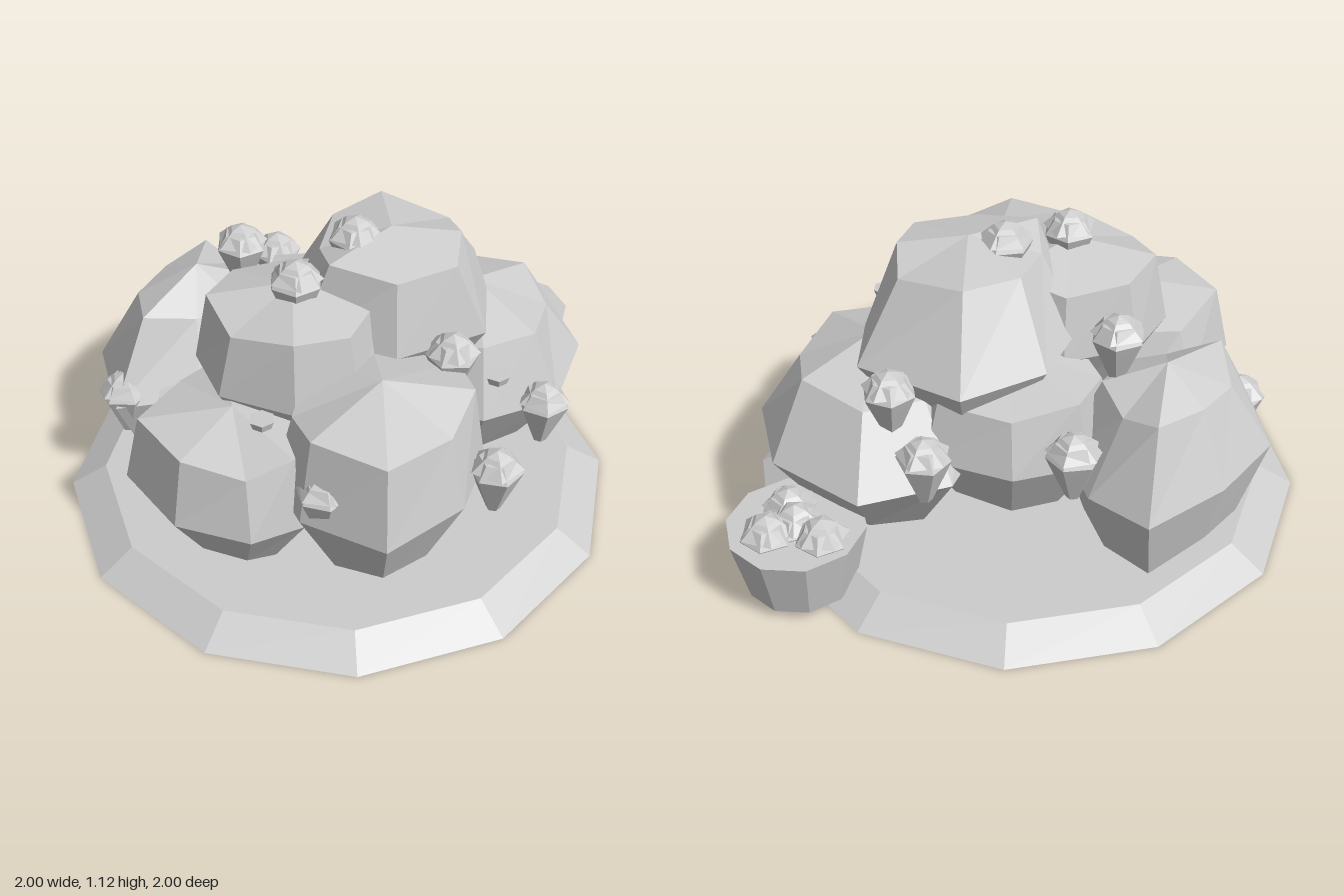
import * as THREE from 'three';

const grey = new THREE.MeshStandardMaterial({ color: 0xcccccc, flatShading: true });
grey.name = 'stone grey';

function add(parent, name, geometry, x = 0, y = 0, z = 0) {
  const mesh = new THREE.Mesh(geometry, grey);
  mesh.name = name;
  mesh.position.set(x, y, z);
  parent.add(mesh);
  return mesh;
}

// Faceted foliage clump: a widest outline scaled into rings, closed by two poles;
// shiftZ moves the upper ring and pole so one side slopes more
function clump(outline, [bottom, low, mid, high, top], lowScale = 0.64, highScale = 0.84, shiftZ = 0) {
  const n = outline.length;
  const cx = outline.reduce((s, p) => s + p[0], 0) / n;
  const cz = outline.reduce((s, p) => s + p[1], 0) / n;
  const rings = [[low, lowScale, 0], [mid, 1, 0], [high, highScale, shiftZ]];
  const pos = [cx, bottom, cz], index = [];
  rings.forEach(([y, s, dz], r) => outline.forEach(([x, z], i) => {
    const wobble = r === 1 ? 0 : 0.025 * Math.sin(i * 2.4 + r + cx * 9);
    pos.push(cx + (x - cx) * (s + wobble), y + wobble, cz + dz + (z - cz) * (s + wobble));
  }));
  pos.push(cx, top, cz + shiftZ);
  const last = 1 + 3 * n;
  for (let i = 0; i < n; i++) {
    const j = (i + 1) % n;
    index.push(0, 1 + j, 1 + i);
    for (let r = 0; r < 2; r++) {
      const a = 1 + r * n + i, b = 1 + r * n + j;
      index.push(a, b, b + n, a, b + n, a + n);
    }
    index.push(last, 1 + 2 * n + i, 1 + 2 * n + j);
  }
  const g = new THREE.BufferGeometry();
  g.setAttribute('position', new THREE.Float32BufferAttribute(pos, 3));
  g.setIndex(index);
  g.computeVertexNormals();
  return g;
}

// Tapered fruit hanging below its leafy cap; y is the very top
function berry(parent, x, y, z, turn = 0) {
  const g = new THREE.Group();
  g.name = 'berry';
  const profile = [[0, -0.25], [0.025, -0.25], [0.08, -0.115], [0.094, -0.08], [0.06, -0.03], [0, -0.02]]
    .map(p => new THREE.Vector2(...p));
  add(g, 'fruit', new THREE.LatheGeometry(profile, 6));
  add(g, 'leafCap', new THREE.CylinderGeometry(0.04, 0.095, 0.05, 5), 0, -0.04, 0);
  add(g, 'capTip', new THREE.ConeGeometry(0.04, 0.015, 5), 0, -0.0075, 0);
  g.position.set(x, y, z);
  g.rotation.y = turn;
  parent.add(g);
}

export function createModel() {
  const model = new THREE.Group();
  model.name = 'berryBush';

  // Ground
  add(model, 'groundDisc', new THREE.CylinderGeometry(0.87, 1, 0.08, 12), 0, 0.04, 0);

  // Foliage
  add(model, 'frontClump', clump(
    [[0.1, 0.87], [0.37, 0.68], [0.47, 0.45], [0.45, 0.2], [0.1, 0.1], [-0.15, 0.2], [-0.25, 0.5], [-0.17, 0.71]],
    [0.08, 0.14, 0.43, 0.72, 0.81], 0.6));
  add(model, 'frontRightClump', clump(
    [[-0.33, 0.73], [-0.15, 0.66], [-0.05, 0.4], [-0.15, 0.1], [-0.4, 0], [-0.6, 0.08], [-0.75, 0.37], [-0.58, 0.63]],
    [0.08, 0.13, 0.36, 0.6, 0.65], 0.58));
  add(model, 'rightClump', clump(
    [[-0.5, 0.02], [-0.25, -0.1], [-0.15, -0.35], [-0.25, -0.6], [-0.45, -0.74], [-0.7, -0.53], [-0.87, -0.28], [-0.8, 0.06]],
    [0.08, 0.12, 0.4, 0.67, 0.76], 0.75, 0.6));
  add(model, 'leftClump', clump(
    [[0.5, 0.22], [0.78, 0.12], [0.92, -0.2], [0.82, -0.5], [0.5, -0.7], [0.2, -0.58], [0.08, -0.2], [0.2, 0.1]],
    [0.08, 0.14, 0.41, 0.65, 0.75], 0.6, 0.67, 0.04));
  add(model, 'backClump', clump(
    [[0.1, 0.1], [0.3, 0], [0.4, -0.2], [0.3, -0.5], [0, -0.59], [-0.25, -0.5], [-0.35, -0.25], [-0.2, 0]],
    [0.15, 0.22, 0.45, 0.66, 0.74]));
  add(model, 'topClump', clump(
    [[0.18, 0.27], [0.5, 0.14], [0.54, -0.13], [0.53, -0.38], [0.17, -0.55], [-0.1, -0.38], [-0.2, -0.1], [-0.14, 0.14]],
    [0.42, 0.5, 0.74, 1.01, 1.065], 0.64, 0.66, 0.07));
  add(model, 'upperClump', clump(
    [[-0.17, 0.45], [0.05, 0.4], [0.2, 0.1], [0.1, -0.1], [-0.15, -0.2], [-0.4, -0.1], [-0.5, 0.1], [-0.42, 0.33]],
    [0.4, 0.46, 0.66, 0.9, 0.97]));

  // Stems
  for (const [x, z, lean] of [[0.29, 0.06, -0.25], [0.32, 0.1, -0.1], [-0.02, 0.18, 0.05]]) {
    add(model, 'stem', new THREE.CylinderGeometry(0.025, 0.035, 0.45, 6), x, 0.28, z).rotation.z = lean;
  }

  // Berries on the bush
  [[0.72, 0.52, 0.16], [0.49, 0.57, 0.56], [0.37, 0.83, 0.26], [0.06, 1.115, -0.04], [-0.15, 1.065, 0.14],
    [0.41, 0.8, -0.48], [0.29, 0.62, -0.6], [-0.2, 0.68, -0.62], [-0.33, 0.93, -0.3],
    [-0.09, 0.61, 0.68], [-0.77, 0.5, -0.02]].forEach((p, i) => berry(model, ...p, i * 1.3));

  // Loose buds
  for (const [x, y, z] of [[0.53, 0.63, 0.25], [-0.6, 0.47, 0.09], [-0.28, 0.65, 0.46]]) {
    add(model, 'bud', new THREE.CylinderGeometry(0.045, 0.035, 0.03, 6), x, y, z);
  }

  // Basket with picked berries
  const basket = new THREE.Group();
  basket.name = 'basket';
  basket.position.set(0.725, 0, -0.64);
  add(basket, 'tub', new THREE.CylinderGeometry(0.24, 0.19, 0.235, 10), 0, 0.1525, 0).rotation.y = Math.PI / 10;
  [[-0.1, -0.07], [0.085, -0.065], [0, -0.005], [0.035, 0.075]]
    .forEach(([x, z], i) => berry(basket, x, 0.355, z, i));
  model.add(basket);

  return model;
}
